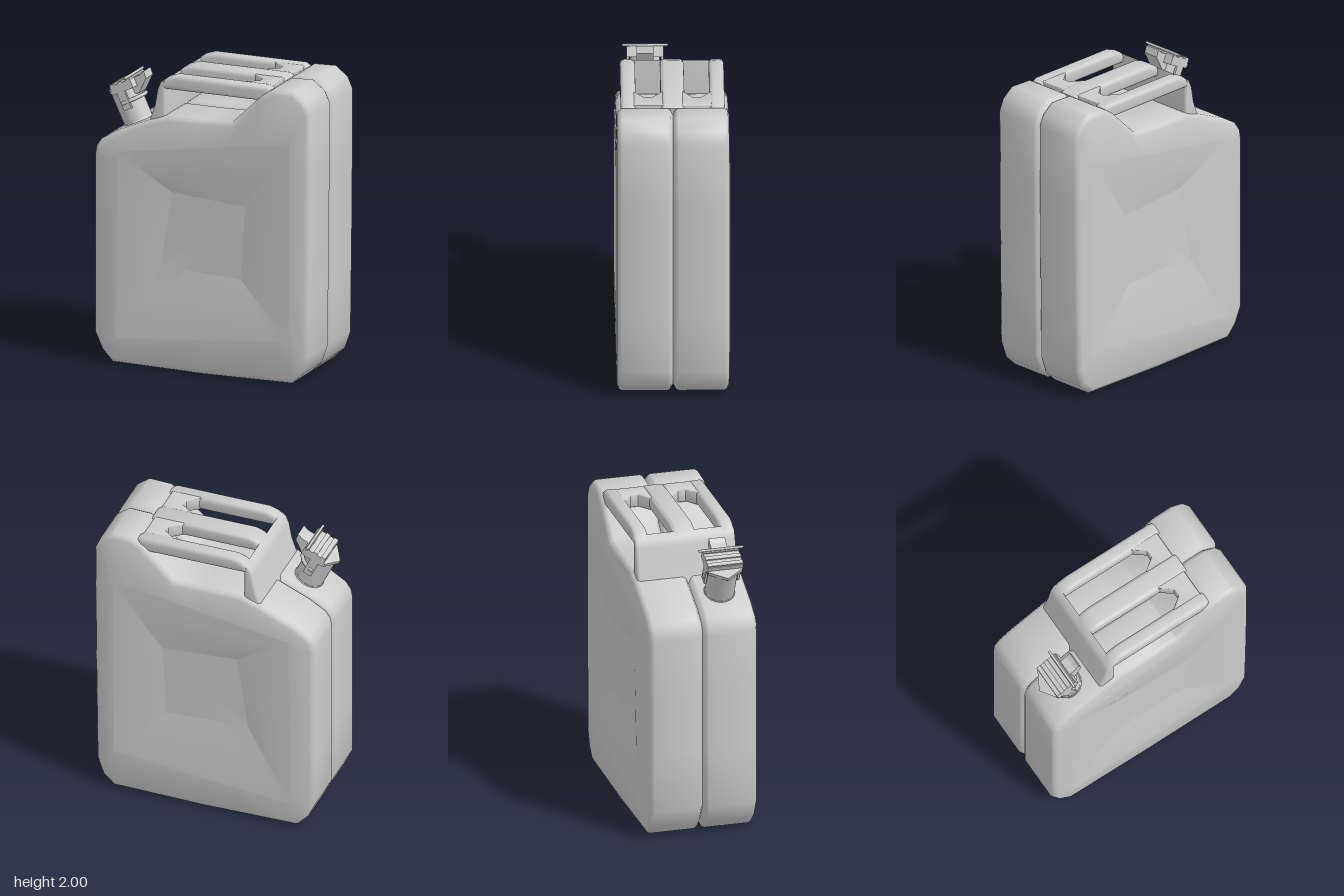
import * as THREE from 'three';
import { toCreasedNormals } from 'three/addons/utils/BufferGeometryUtils.js';

const material = new THREE.MeshStandardMaterial({ color: 0xcccccc, side: THREE.DoubleSide });

function addMesh(parent, name, geometry, x = 0, y = 0, z = 0) {
  const mesh = new THREE.Mesh(geometry, material);
  mesh.name = name;
  mesh.position.set(x, y, z);
  parent.add(mesh);
  return mesh;
}

const toVectors = (list) => list.map(([x, y]) => new THREE.Vector2(x, y));

// Body outline, counter-clockwise, as four sides that meet at the corners
const sides = [
  [[-0.72, 0.09], [-0.645, 0.01], [-0.3, 0.005], [0, 0], [0.3, 0.005], [0.635, 0.01]],
  [[0.715, 0.085], [0.755, 0.2], [0.76, 0.6], [0.765, 1.0], [0.768, 1.4], [0.77, 1.85]],
  [[0.735, 1.93], [0.65, 1.995], [0.5, 1.99], [0.425, 1.945], [0.38, 1.9], [0.21, 1.735],
    [0, 1.73], [-0.25, 1.73], [-0.38, 1.685], [-0.62, 1.58]],
  [[-0.725, 1.515], [-0.76, 1.465], [-0.77, 1.41], [-0.77, 1.0], [-0.77, 0.6], [-0.77, 0.2]],
].map(toVectors);
const outline = sides.flat();

// Pressed panel: outer and inner corners, in the same order as the sides
const panelOuter = toVectors([[-0.61, 0.18], [0.63, 0.3], [0.63, 1.64], [-0.59, 1.45]]);
const panelInner = toVectors([[-0.3, 0.7], [0.27, 0.67], [0.3, 1.17], [-0.22, 1.21]]);

// Moves the outline inwards by a fixed distance
function insetOutline(d) {
  const n = outline.length;
  return outline.map((p, i) => {
    const a = p.clone().sub(outline[(i + n - 1) % n]).normalize();
    const b = outline[(i + 1) % n].clone().sub(p).normalize();
    const normal = new THREE.Vector2(-a.y - b.y, a.x + b.x).normalize();
    return p.clone().addScaledVector(normal, d / Math.max(0.6, normal.x * -a.y + normal.y * a.x));
  });
}

// Spreads the outline points along a four-cornered ring
function quadRing(corners) {
  return sides.flatMap((side, s) => {
    const path = [...side, sides[(s + 1) % 4][0]];
    const lengths = [0];
    for (let i = 1; i < path.length; i++) lengths.push(lengths[i - 1] + path[i].distanceTo(path[i - 1]));
    const total = lengths[lengths.length - 1];
    return side.map((_, i) => corners[s].clone().lerp(corners[(s + 1) % 4], lengths[i] / total));
  });
}

// Skin over rings of [points, z]; sign mirrors it to the back
function loft(rings, sign, creaseAngle) {
  const n = outline.length;
  const positions = [];
  const index = [];
  const triangle = (a, b, c) => index.push(a, sign > 0 ? b : c, sign > 0 ? c : b);
  rings.forEach(([points, z]) => points.forEach((p) => positions.push(p.x, p.y, z * sign)));
  for (let r = 0; r < rings.length - 1; r++) {
    for (let i = 0; i < n; i++) {
      const j = (i + 1) % n;
      triangle(r * n + i, r * n + j, (r + 1) * n + j);
      triangle(r * n + i, (r + 1) * n + j, (r + 1) * n + i);
    }
  }
  const geometry = new THREE.BufferGeometry();
  geometry.setAttribute('position', new THREE.Float32BufferAttribute(positions, 3));
  geometry.setIndex(index);
  return toCreasedNormals(geometry, creaseAngle);
}

// One pressed half: shell from the seam to the rim, then the sunken panel
function createHalf(name, sign) {
  const half = new THREE.Group();
  half.name = name;
  const outer = quadRing(panelOuter);
  const inner = quadRing(panelInner);
  const between = (t) => outer.map((p, i) => p.clone().lerp(inner[i], t));
  addMesh(half, 'shell', loft([
    [insetOutline(0.04), 0], [insetOutline(0.008), 0.018], [insetOutline(0), 0.035],
    [insetOutline(0), 0.335], [insetOutline(0.012), 0.355], [insetOutline(0.035), 0.366],
    [outer, 0.374],
  ], sign, 0.8));
  const middle = outer.map(() => new THREE.Vector2(0.02, 0.93));
  addMesh(half, 'pressedPanel', loft([
    [outer, 0.374], [between(0.25), 0.371], [between(0.6), 0.362], [inner, 0.342], [middle, 0.342],
  ], sign, 0.1));
  return half;
}

// Extrusion with rounded edges that stays inside its outline
function roundedExtrude(points, thickness, bevel) {
  const geometry = new THREE.ExtrudeGeometry(new THREE.Shape(toVectors(points)), {
    depth: thickness - 2 * bevel, bevelThickness: bevel, bevelSize: bevel,
    bevelOffset: -bevel, bevelSegments: 4, steps: 1,
  });
  return toCreasedNormals(geometry.translate(0, 0, bevel - thickness / 2), 0.9);
}

// Three carrying bars between an upright wall and a web that joins the body
function createHandle() {
  const handle = new THREE.Group();
  handle.name = 'handle';
  const bar = [[-0.325, 1.9], [-0.27, 1.9], [0.47, 1.9], [0.48, 1.98], [0.45, 2],
    [-0.2, 2], [-0.26, 1.98], [-0.305, 1.945]];
  for (const [z, width] of [[-0.29, 0.1], [0, 0.156], [0.29, 0.1]]) {
    addMesh(handle, 'carryingBar', roundedExtrude(bar, width, 0.028), 0, 0, z);
  }
  const wall = [[-0.4, 1.62], [-0.27, 1.62], [-0.268, 1.75], [-0.268, 1.9], [-0.275, 1.965],
    [-0.31, 1.94], [-0.33, 1.89], [-0.35, 1.78], [-0.385, 1.68]];
  addMesh(handle, 'handleWall', roundedExtrude(wall, 0.68, 0.02));
  const web = [[0.46, 0.28], [0.25, 0.28], [0.25, 0.25], [0.335, 0.185], [0.335, 0.135], [0.25, 0.07],
    [0.25, -0.07], [0.335, -0.135], [0.335, -0.185], [0.25, -0.25], [0.25, -0.28], [0.46, -0.28]];
  addMesh(handle, 'handleWeb', roundedExtrude(web, 0.092, 0.01).rotateX(-Math.PI / 2), 0, 1.949, 0);
  return handle;
}

function createSpout() {
  const spout = new THREE.Group();
  spout.name = 'spout';
  spout.position.set(-0.525, 1.6, 0.17);
  spout.rotation.z = 0.44;
  addMesh(spout, 'neckCollar', new THREE.CylinderGeometry(0.1, 0.11, 0.04, 24), 0, 0.01, 0);
  addMesh(spout, 'neck', new THREE.CylinderGeometry(0.098, 0.098, 0.25, 24), 0, 0.125, 0);
  // Cap with low ribs across it
  addMesh(spout, 'cap', new THREE.BoxGeometry(0.16, 0.06, 0.24), 0.04, 0.272, 0);
  for (const x of [-0.02, 0.04, 0.1]) {
    addMesh(spout, 'capRib', new THREE.BoxGeometry(0.03, 0.012, 0.24), x, 0.306, 0);
  }
  // Pointed hinge plate on the outer side
  const hinge = new THREE.Shape(toVectors([[-0.04, -0.115], [0, -0.115], [0, 0.115], [-0.04, 0.115], [-0.11, 0]]));
  const hingeGeometry = new THREE.ExtrudeGeometry(hinge, { depth: 0.025, bevelEnabled: false });
  addMesh(spout, 'hingePlate', hingeGeometry.rotateX(-Math.PI / 2), -0.01, 0.245, 0);
  // Wedge lever, its pin and the locking bail
  const lever = new THREE.Shape(toVectors([[0.06, 0.2], [0.11, 0.19], [0.2, 0.265], [0.205, 0.315], [0.17, 0.3], [0.06, 0.3]]));
  addMesh(spout, 'lever', new THREE.ExtrudeGeometry(lever, { depth: 0.11, bevelEnabled: false }), 0, 0, -0.055);
  const pin = addMesh(spout, 'leverPin', new THREE.CylinderGeometry(0.009, 0.009, 0.3, 8), 0.1, 0.32, 0);
  pin.rotation.x = Math.PI / 2;
  const bail = addMesh(spout, 'bail', new THREE.TorusGeometry(0.115, 0.014, 6, 20, Math.PI), 0, 0.17, 0);
  bail.rotation.set(Math.PI / 2, 0, -Math.PI / 2);
  for (const s of [-1, 1]) {
    addMesh(spout, 'cheek', new THREE.BoxGeometry(0.06, 0.18, 0.016), 0.02, 0.21, s * 0.112);
  }
  return spout;
}

export function createModel() {
  const model = new THREE.Group();
  model.name = 'fuelCan';
  model.add(createHalf('frontHalf', 1), createHalf('backHalf', -1));
  model.add(createHandle(), createSpout());
  return model;
}
